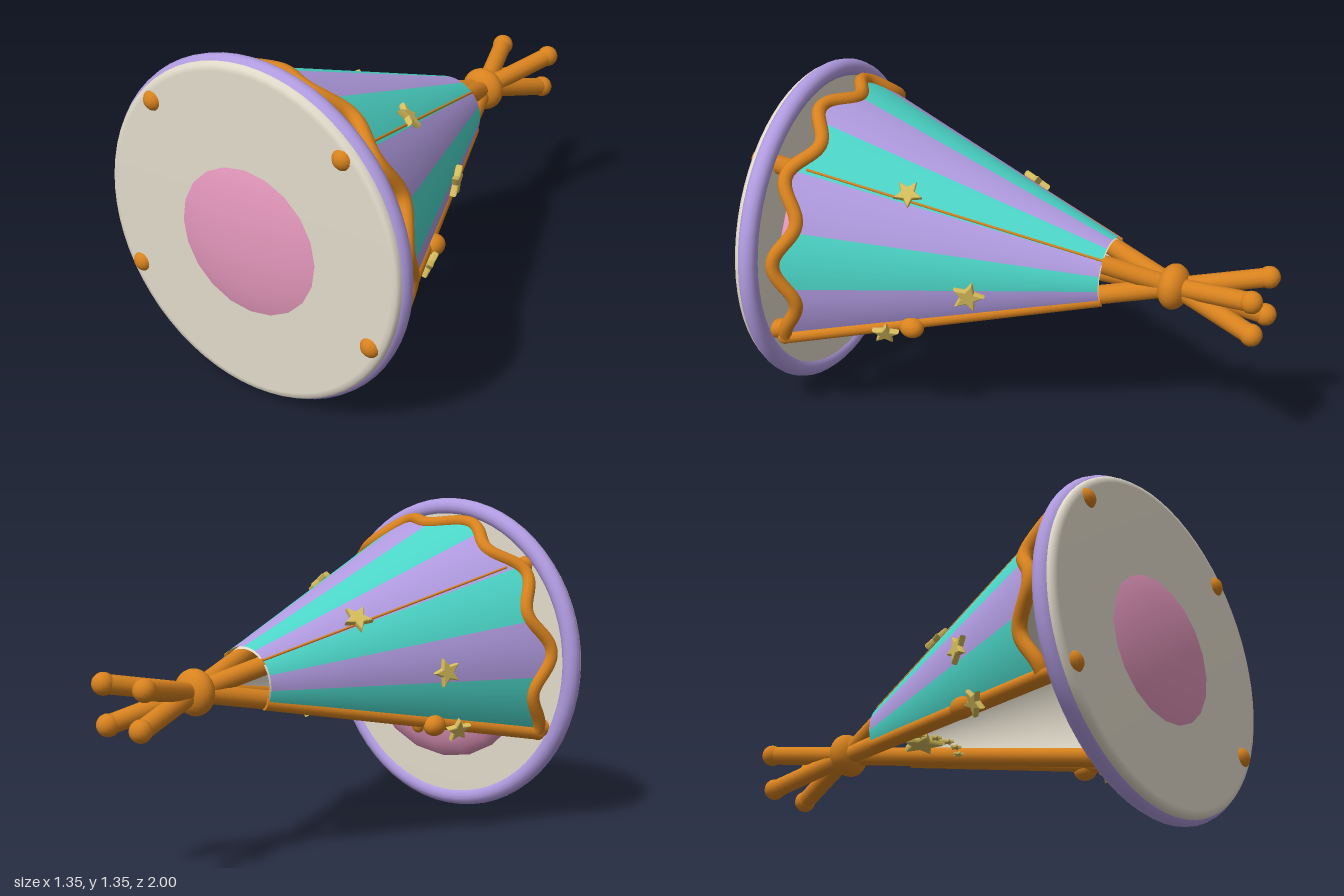
import * as THREE from 'three';

const mat = (name, color, side = THREE.FrontSide) => {
  const m = new THREE.MeshStandardMaterial({ color, side });
  m.name = name;
  return m;
};
const DEG = Math.PI / 180;
const EDGE = 117 * DEG;      // cloth runs from -EDGE to +EDGE, measured from the top
const TOP_Z = -0.355;        // narrow end of the cloth
const KNOT_Z = -0.62;        // where the poles cross

// Point around the tent axis (z); angle 0 is +y, 90 degrees is +x
const polar = (a, r, z) => new THREE.Vector3(r * Math.sin(a), r * Math.cos(a), z);
const poleR = (z) => 0.6 * (z - KNOT_Z) / 1.57;
const clothR = (z) => poleR(z) + 0.047;
const hemZ = (a) => 0.785 - 0.037 * Math.cos(a / EDGE * Math.PI * 7);

export function createModel() {
  const orange = mat('orange wood', 0xd8821e);
  const lilac = mat('lilac cloth', 0xb09be0, THREE.DoubleSide);
  const teal = mat('teal cloth', 0x4cd6c8, THREE.DoubleSide);
  const cream = mat('cream cloth', 0xe2dbcb, THREE.DoubleSide);
  const pink = mat('pink cushion', 0xe598bd);
  const gold = mat('gold', 0xd6bd5c);

  const model = new THREE.Group();
  model.name = 'tent';
  const tent = new THREE.Group();
  tent.name = 'tentBody';
  tent.position.y = 0.673;
  model.add(tent);

  const add = (name, geo, material, pos) => {
    const m = new THREE.Mesh(geo, material);
    m.name = name;
    if (pos) m.position.copy(pos);
    tent.add(m);
    return m;
  };
  const ball = (name, material, pos, rx, ry, rz, seg = 20) => {
    const m = add(name, new THREE.SphereGeometry(1, seg, Math.ceil(seg * 0.7)), material, pos);
    m.scale.set(rx, ry, rz);
    return m;
  };
  const rod = (name, a, b, r, material) => {
    const d = b.clone().sub(a);
    const m = add(name, new THREE.CylinderGeometry(r, r, d.length(), 14), material,
      a.clone().add(b).multiplyScalar(0.5));
    m.quaternion.setFromUnitVectors(new THREE.Vector3(0, 1, 0), d.normalize());
    return m;
  };

  // Puffy five-pointed star facing along a normal
  const star = (name, pos, normal, r, material = gold, depth = 0.012) => {
    const s = new THREE.Shape();
    for (let i = 0; i < 10; i++) {
      const a = i * Math.PI / 5, q = i % 2 ? r * 0.48 : r;
      s[i ? 'lineTo' : 'moveTo'](q * Math.sin(a), q * Math.cos(a));
    }
    s.closePath();
    const geo = new THREE.ExtrudeGeometry(s, {
      depth, bevelEnabled: true, bevelThickness: r * 0.12, bevelSize: r * 0.1,
      bevelOffset: -r * 0.1, bevelSegments: 2,
    });
    geo.translate(0, 0, -depth / 2);
    const m = new THREE.Mesh(geo, material);
    m.name = name;
    m.position.copy(pos);
    m.up.set(0, 0, -1);
    if (Math.abs(normal.z) > 0.9) m.up.set(0, 1, 0);
    m.lookAt(pos.clone().add(normal));
    tent.add(m);
    return m;
  };

  // Round floor with a rounded rim, and the ring around it
  const floorProfile = [[0, 0.885], [0.63, 0.885], [0.648, 0.9], [0.657, 0.925],
    [0.655, 0.95], [0.645, 0.962], [0.625, 0.966], [0, 0.966]]
    .map(([r, z]) => new THREE.Vector2(r, z));
  add('floor', new THREE.LatheGeometry(floorProfile, 64), cream).rotation.x = Math.PI / 2;
  add('floorRing', new THREE.TorusGeometry(0.635, 0.038, 14, 64), lilac, polar(0, 0, 0.91));

  // Cushion with paw and star decoration
  const cushion = new THREE.SphereGeometry(1, 20, 16);
  cushion.rotateX(Math.PI / 2);
  add('cushion', cushion, pink, new THREE.Vector3(0, -0.023, 0.87)).scale.set(0.45, 0.43, 0.13);
  ball('pawPad', orange, new THREE.Vector3(0, -0.155, 0.748), 0.09, 0.078, 0.025);
  for (const s of [-1, 1]) {
    ball('pawToe', orange, new THREE.Vector3(s * 0.12, -0.23, 0.752), 0.036, 0.043, 0.025, 14);
    ball('pawToe', orange, new THREE.Vector3(s * 0.048, -0.3, 0.748), 0.034, 0.042, 0.025, 14);
  }
  star('cushionStar', new THREE.Vector3(0, 0.08, 0.743), new THREE.Vector3(0, 0, -1), 0.11, teal);

  // Four poles with rounded ends, tied together by a knot
  for (const a of [45, -45, 117.4, -117.4]) {
    const ends = [0.945, -0.956].map((z) => polar(a * DEG, poleR(z), z));
    rod('pole', ends[0], ends[1], 0.038, orange);
    for (const e of ends) ball('poleEnd', orange, e, 0.044, 0.044, 0.044, 14);
  }
  ball('poleKnot', orange, polar(0, 0, -0.612), 0.092, 0.09, 0.062, 24);

  // Curved sheet of cloth between two angles, ending at the wavy hem
  const sheet = (name, a0, a1, seg, inset, material) => {
    const geo = new THREE.PlaneGeometry(1, 1, seg, 12);
    const p = geo.attributes.position;
    for (let i = 0; i < p.count; i++) {
      const a = THREE.MathUtils.lerp(a0, a1, p.getX(i) + 0.5);
      const z = THREE.MathUtils.lerp(hemZ(a), TOP_Z, p.getY(i) + 0.5);
      const v = polar(a, clothR(z) - inset, z);
      p.setXYZ(i, v.x, v.y, v.z);
    }
    geo.computeVertexNormals();
    add(name, geo, material);
  };
  const step = EDGE / 5;
  for (let i = -5; i < 5; i++) {
    sheet('clothStripe', i * step, (i + 1) * step, 8, 0, i & 1 ? teal : lilac);
  }
  sheet('lining', -EDGE, EDGE, 80, 0.01, cream);

  // Wavy hem tube
  const hemPoints = [];
  for (let i = 0; i <= 84; i++) {
    const a = -EDGE + 2 * EDGE * i / 84;
    hemPoints.push(polar(a, clothR(hemZ(a)), hemZ(a)));
  }
  add('hem', new THREE.TubeGeometry(new THREE.CatmullRomCurve3(hemPoints), 168, 0.028, 10), orange);

  // Seams over the rear poles, and trims, ties and stars along the doorway
  const slope = Math.atan(0.6 / 1.57);
  const outward = (a) => polar(a, Math.cos(slope), -Math.sin(slope));
  for (const s of [-1, 1]) {
    const seam = s * 45 * DEG, side = s * 118 * DEG;
    rod('seam', polar(seam, clothR(0.76), 0.76), polar(seam, clothR(TOP_Z), TOP_Z), 0.005, orange);
    const low = polar(side, clothR(0.83), 0.83);
    rod('doorTrim', low, polar(side, clothR(TOP_Z) - 0.02, TOP_Z), 0.027, orange);
    ball('trimEnd', orange, low, 0.028, 0.028, 0.028, 14);
    ball('tieKnot', orange, polar(side, clothR(0.335) + 0.02, 0.335), 0.042, 0.042, 0.05);
    star('tieStar', polar(side, clothR(0.43) + 0.035, 0.43), outward(side), 0.055);
  }

  // Stars on the outside: angle, z, radius
  for (const [deg, z, r] of [[-42, 0.06, 0.062], [42, 0.38, 0.058], [97, 0.11, 0.066], [-88, 0.35, 0.06]]) {
    star('clothStar', polar(deg * DEG, clothR(z) + 0.012, z), outward(deg * DEG), r);
  }

  // Hanging star and a small star garland across the doorway
  const front = new THREE.Vector3(0, -1, 0);
  star('hangingStar', new THREE.Vector3(0, -0.06, -0.2), front, 0.09);
  for (let i = -2; i <= 2; i++) {
    star('garlandStar', new THREE.Vector3(i * 0.06, -0.095, -0.06 - 0.012 * i * i), front, 0.024, gold, 0.006);
  }
  return model;
}
